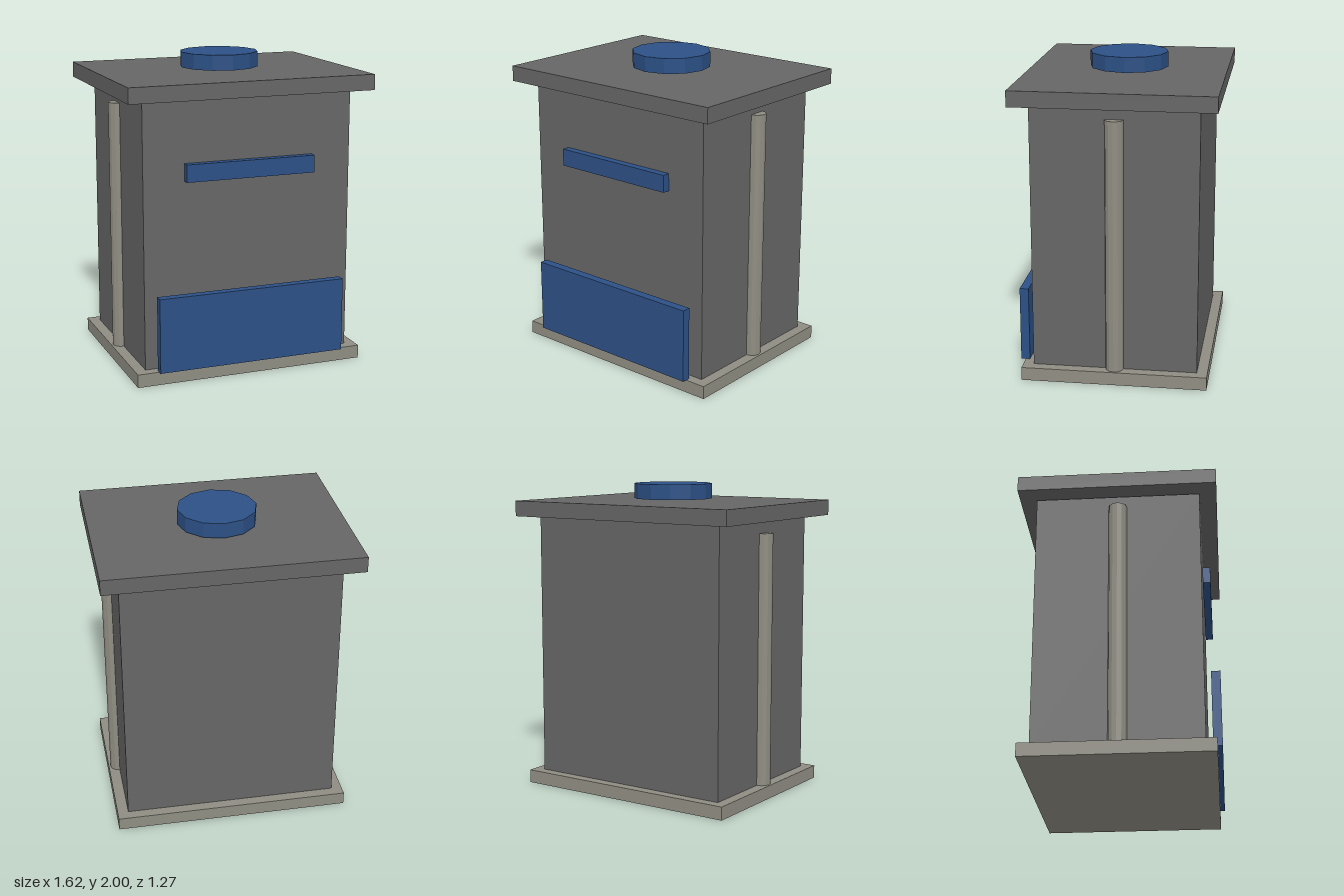
import * as THREE from 'three';

export function createModel() {
  const model = new THREE.Group();
  model.name = 'cabinet';

  const material = (name, color) => {
    const m = new THREE.MeshStandardMaterial({ color, flatShading: true });
    m.name = name;
    return m;
  };
  const darkGrey = material('dark grey', 0x666666);
  const blue = material('blue', 0x2c5085);
  const stone = material('stone grey', 0x8f8d82);

  const add = (name, geometry, mat, x, y, z) => {
    const mesh = new THREE.Mesh(geometry, mat);
    mesh.name = name;
    mesh.position.set(x, y, z);
    model.add(mesh);
  };
  // Box from its width, bottom and top, back and front
  const box = (name, mat, w, y0, y1, z0, z1) =>
    add(name, new THREE.BoxGeometry(w, y1 - y0, z1 - z0), mat, 0, (y0 + y1) / 2, (z0 + z1) / 2);
  // Upright twelve-sided cylinder
  const column = (name, mat, r, y0, y1, x) =>
    add(name, new THREE.CylinderGeometry(r, r, y1 - y0, 12), mat, x, (y0 + y1) / 2, 0);

  // Main structure
  box('base', stone, 1.522, 0, 0.085, -0.59, 0.59);
  box('body', darkGrey, 1.382, 0.085, 1.78, -0.523, 0.523);
  box('roof', darkGrey, 1.616, 1.788, 1.888, -0.633, 0.633);

  // Front panel stands slightly clear of the body; the bar touches it
  box('frontPanel', blue, 1.244, 0.085, 0.567, 0.563, 0.62);
  box('frontBar', blue, 0.852, 1.277, 1.388, 0.527, 0.576);

  // Cap hovers just over the roof
  column('roofCap', blue, 0.253, 1.902, 2, 0);

  // Rods half sunk into the side walls
  column('leftRod', stone, 0.058, 0.085, 1.705, 0.691);
  column('rightRod', stone, 0.058, 0.085, 1.705, -0.691);

  return model;
}
